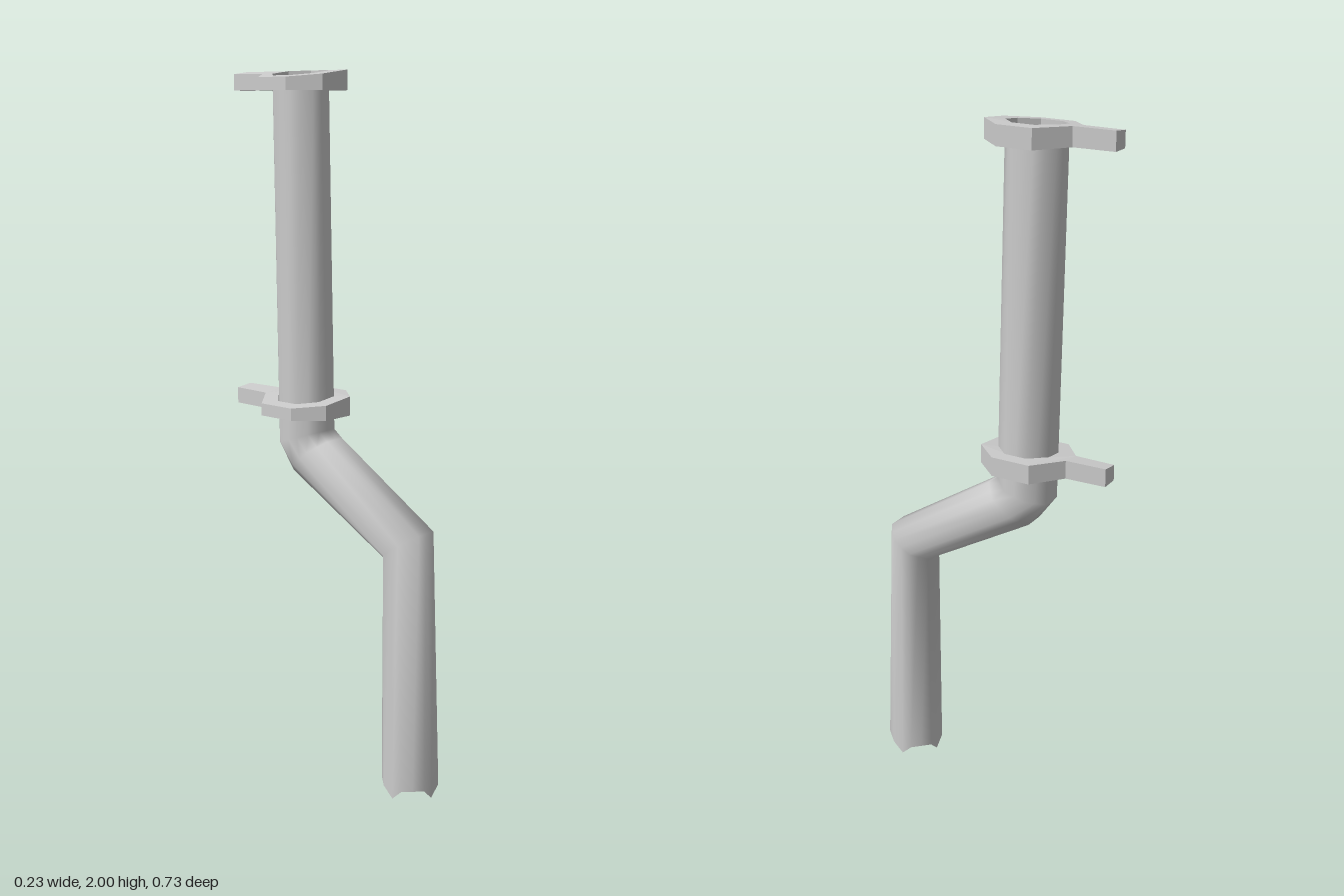
import * as THREE from 'three';

const SIDES = 16; // eight flats, each split at its middle
const HALF_WIDTH = 0.077;

// Unit octagon with a flat facing the front; even points are flat middles
function octagonPoint(j) {
  const a = (j / SIDES) * Math.PI * 2;
  const r = j % 2 ? 1 / Math.cos(Math.PI / 8) : 1;
  return [Math.sin(a) * r, Math.cos(a) * r];
}

// Skin a list of rings, each a function j -> [x, y, z], from top to bottom
function loft(rings) {
  const positions = [], index = [];
  rings.forEach((ring, i) => {
    for (let j = 0; j < SIDES; j++) {
      positions.push(...ring(j));
      if (i === rings.length - 1) continue;
      const k = (j + 1) % SIDES;
      const a = i * SIDES + j, d = i * SIDES + k;
      index.push(a, a + SIDES, d, a + SIDES, d + SIDES, d);
    }
  });
  const geometry = new THREE.BufferGeometry();
  geometry.setAttribute('position', new THREE.Float32BufferAttribute(positions, 3));
  geometry.setIndex(index);
  geometry.computeVertexNormals();
  return geometry;
}

// Pipe cross-section spanning from its front edge to its back edge
function section(frontZ, frontY, backZ, backY, scale = 1, lift = () => 0) {
  return (j) => {
    const [u, v] = octagonPoint(j);
    const s = v * scale / 2;
    return [
      u * HALF_WIDTH * scale,
      (frontY + backY) / 2 + (frontY - backY) * s + lift(j),
      (frontZ + backZ) / 2 + (frontZ - backZ) * s,
    ];
  };
}

// Octagonal band with a hole for the pipe and an arm towards the wall
function clampGeometry(centreZ) {
  const front = centreZ + 0.128;
  const half = [[0.05, front], [0.116, front - 0.073], [0.116, -0.175], [0.03, -0.243], [0.026, -0.362]];
  const outline = [...half, ...half.map(([x, z]) => [-x, z]).reverse()];
  const shape = new THREE.Shape(outline.map(([x, z]) => new THREE.Vector2(x, -z)));
  const hole = [];
  for (let j = 1; j < SIDES; j += 2) {
    const [u, v] = octagonPoint(j);
    hole.push(new THREE.Vector2(u * 0.076, -(centreZ + v * 0.076)));
  }
  shape.holes.push(new THREE.Path(hole));
  const geometry = new THREE.ExtrudeGeometry(shape, { depth: 0.055, bevelEnabled: false });
  geometry.rotateX(-Math.PI / 2);
  // The upper face slopes down towards one side
  const p = geometry.attributes.position;
  for (let i = 0; i < p.count; i++) {
    if (p.getY(i) > 0.03) {
      const slope = THREE.MathUtils.clamp((0.05 - p.getX(i)) / 0.165, 0, 1);
      p.setY(i, p.getY(i) - 0.02 * slope);
    }
  }
  geometry.computeVertexNormals();
  return geometry;
}

export function createModel() {
  const model = new THREE.Group();
  model.name = 'drainpipe';
  const smooth = new THREE.MeshStandardMaterial({ color: 0xcccccc, side: THREE.DoubleSide });
  const flat = new THREE.MeshStandardMaterial({ color: 0xcccccc, flatShading: true });

  const add = (name, geometry, material, y = 0) => {
    const mesh = new THREE.Mesh(geometry, material);
    mesh.name = name;
    mesh.position.y = y;
    model.add(mesh);
  };

  // Jagged lower end: four teeth pointing down
  const teeth = (j) => (j % 4 === 0 ? 0 : 0.03);
  const brokenEnd = section(0.365, 0, 0.21, 0, 1, teeth);

  // Open pipe with a double bend
  add('pipe', loft([
    section(-0.05, 1.975, -0.203, 1.975),
    section(-0.03, 1.0, -0.185, 0.95),
    section(0.0, 0.977, -0.13, 0.875),
    section(0.335, 0.765, 0.21, 0.68),
    brokenEnd,
  ]), smooth);

  // Inner lip of the broken end
  add('brokenRim', loft([brokenEnd, section(0.365, 0.035, 0.21, 0.035, 0.6)]), smooth);

  // Wall clamps
  add('upperClamp', clampGeometry(-0.127), flat, 1.945);
  add('lowerClamp', clampGeometry(-0.115), flat, 1.042);

  return model;
}
